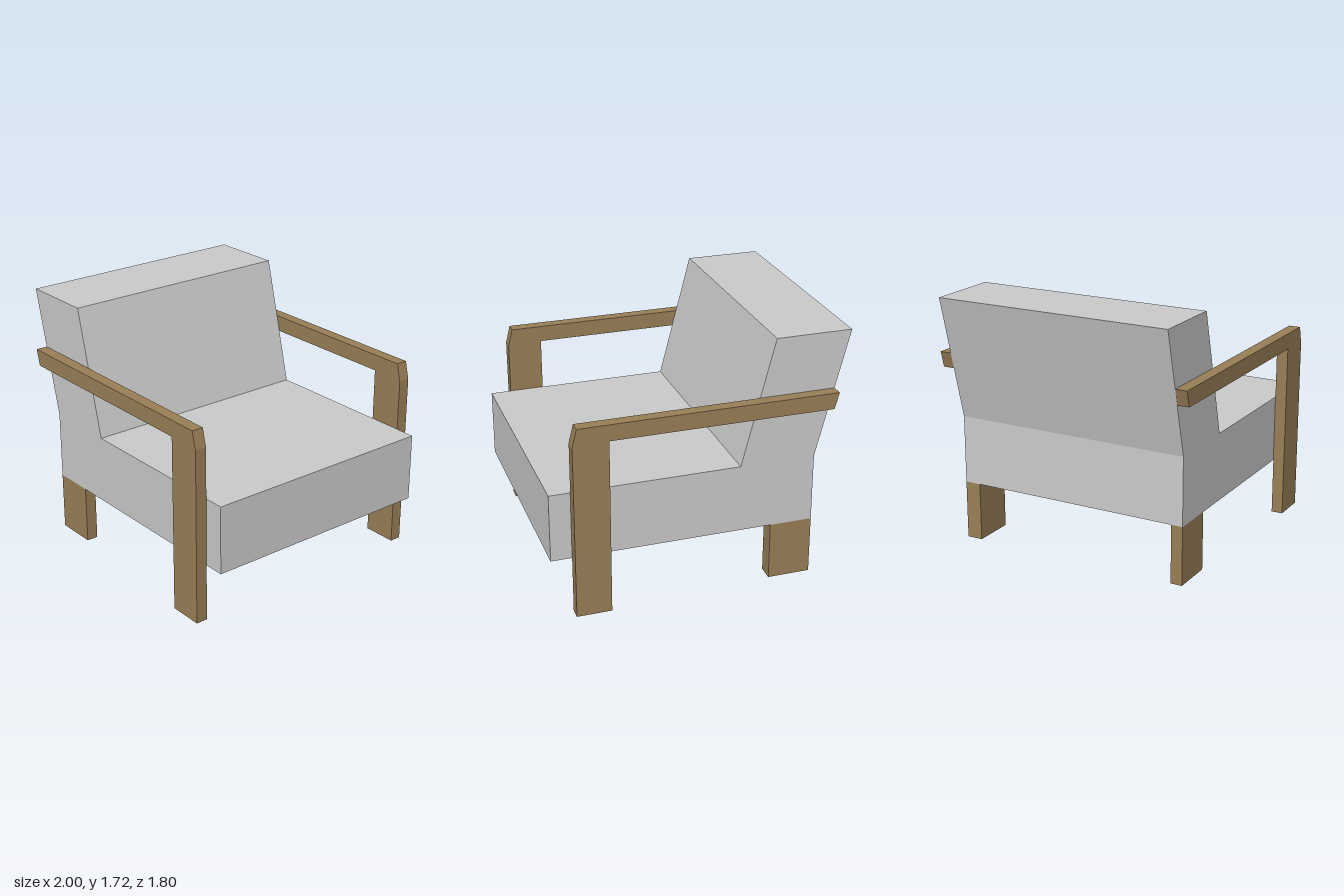
import * as THREE from 'three';

const fabric = new THREE.MeshStandardMaterial({ color: 0xcccccc, flatShading: true });
const wood = new THREE.MeshStandardMaterial({ color: 0x997f57, flatShading: true });

// Extrudes a side outline (x, y) between two z positions
function slab(name, outline, z0, z1, material) {
  const shape = new THREE.Shape(outline.map(([x, y]) => new THREE.Vector2(x, y)));
  const geometry = new THREE.ExtrudeGeometry(shape, { depth: z1 - z0, bevelEnabled: false });
  geometry.translate(0, 0, z0);
  const mesh = new THREE.Mesh(geometry, material);
  mesh.name = name;
  return mesh;
}

export function createModel() {
  const chair = new THREE.Group();
  chair.name = 'armchair';

  // Upholstered seat and reclined back in one L-shaped block
  const body = [[-0.78, 0.4], [1, 0.4], [1, 0.865], [-0.27, 0.865], [-0.49, 1.72], [-1, 1.72], [-0.78, 0.865]];
  chair.add(slab('seatAndBack', body, -0.82, 0.82, fabric));

  // Armrest and front leg as one flat frame with a chamfered corner
  const frame = [[0.625, 0.01], [0.86, 0.01], [0.86, 1.21], [0.83, 1.33], [-0.9, 1.33], [-0.87, 1.22], [0.625, 1.22]];
  chair.add(slab('leftArmFrame', frame, 0.82, 0.9, wood));
  chair.add(slab('rightArmFrame', frame, -0.9, -0.82, wood));

  // Short rear legs under the body, the one at -z slightly thicker
  const leg = [[-0.78, 0], [-0.49, 0], [-0.49, 0.4], [-0.78, 0.4]];
  chair.add(slab('leftRearLeg', leg, 0.74, 0.82, wood));
  chair.add(slab('rightRearLeg', leg, -0.82, -0.71, wood));

  return chair;
}
